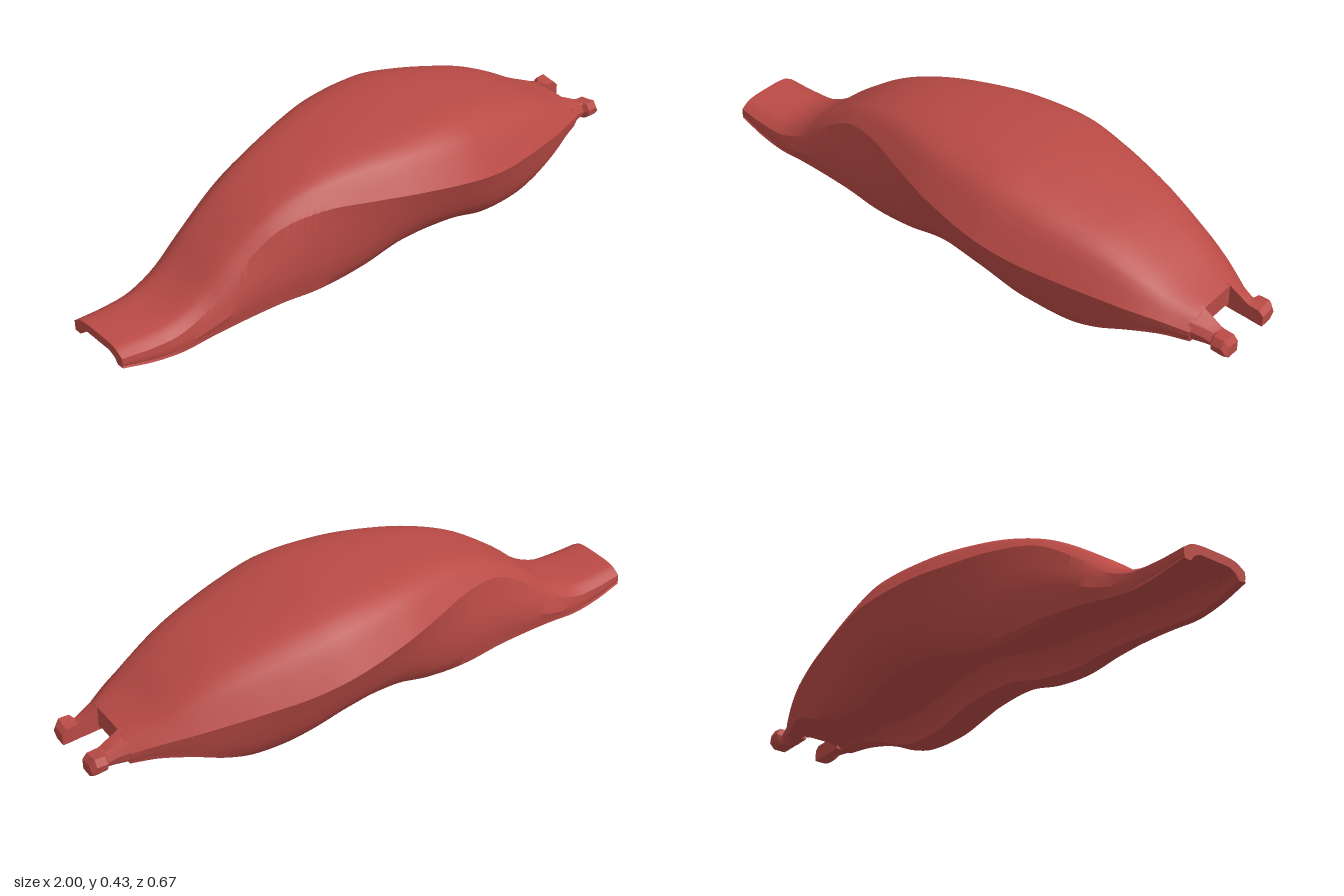
import * as THREE from 'three';
import { toCreasedNormals } from 'three/addons/utils/BufferGeometryUtils.js';

// Stations: x, top y, crease y, crease z, flank z, bottom y, rail outer z, rail inner z, channel ceiling y
const stations = [
  [-1.0, 0.10, 0.075, 0.120, 0.122, 0.040, 0.114, 0.095, 0.070],
  [-0.9, 0.095, 0.065, 0.128, 0.132, 0.015, 0.124, 0.102, 0.064],
  [-0.8, 0.10, 0.068, 0.134, 0.142, 0.003, 0.132, 0.107, 0.062],
  [-0.7, 0.147, 0.110, 0.138, 0.157, 0.012, 0.142, 0.109, 0.066],
  [-0.6, 0.23, 0.190, 0.142, 0.174, 0.018, 0.154, 0.110, 0.074],
  [-0.45, 0.33, 0.285, 0.160, 0.194, 0.019, 0.170, 0.110, 0.084],
  [-0.3, 0.39, 0.314, 0.203, 0.218, 0.012, 0.185, 0.110, 0.088],
  [-0.15, 0.42, 0.308, 0.257, 0.243, 0.030, 0.198, 0.110, 0.110],
  [0.0, 0.432, 0.295, 0.305, 0.268, 0.066, 0.210, 0.110, 0.142],
  [0.2, 0.43, 0.265, 0.334, 0.290, 0.058, 0.218, 0.110, 0.135],
  [0.35, 0.402, 0.235, 0.320, 0.280, 0.017, 0.214, 0.110, 0.098],
  [0.5, 0.36, 0.215, 0.287, 0.256, 0.014, 0.210, 0.112, 0.092],
  [0.6, 0.325, 0.200, 0.258, 0.238, 0.040, 0.206, 0.113, 0.100],
  [0.7, 0.275, 0.182, 0.224, 0.213, 0.082, 0.195, 0.112, 0.114],
  [0.8, 0.215, 0.160, 0.180, 0.174, 0.100, 0.160, 0.100, 0.118],
  [0.88, 0.18, 0.135, 0.140, 0.138, 0.094, 0.125, 0.080, 0.112],
];

// Fractions of crease width and of height above the crease
const crown = [[0, 1], [0.2, 0.998], [0.36, 0.982], [0.48, 0.95], [0.6, 0.886], [0.69, 0.805], [0.77, 0.68], [0.85, 0.46], [0.92, 0.25], [1, 0]];

// Smooth (cubic Hermite) value of one column at x
function sample(x, col) {
  const n = stations.length;
  let i = 0;
  while (i < n - 2 && x > stations[i + 1][0]) i++;
  const slope = (k) => {
    const a = stations[Math.max(k - 1, 0)], b = stations[Math.min(k + 1, n - 1)];
    return (b[col] - a[col]) / (b[0] - a[0]);
  };
  const p = stations[i], q = stations[i + 1], h = q[0] - p[0];
  const t = (x - p[0]) / h, t2 = t * t, t3 = t2 * t;
  return (2 * t3 - 3 * t2 + 1) * p[col] + (t3 - 2 * t2 + t) * h * slope(i)
    + (3 * t2 - 2 * t3) * q[col] + (t3 - t2) * h * slope(i + 1);
}

// Closed [z, y] cross-section, with the channel along the underside
function bodySection(x) {
  const [top, cy, cz, fz, by, oz, iz, ceil] = [1, 2, 3, 4, 5, 6, 7, 8].map((c) => sample(x, c));
  const half = crown.map(([u, v]) => [u * cz, cy + v * (top - cy)]);
  const h = cy - by;
  half.push(
    [cz * 0.45 + fz * 0.55, by + h * 0.7],
    [fz, by + h * 0.42],
    [fz * 0.6 + oz * 0.4, by + h * 0.2],
    [oz + 0.008, by + h * 0.05],
    [oz - 0.008, by],
    [iz, by],
    [iz - 0.012, by + (ceil - by) * 0.6],
    [iz - 0.038, ceil],
    [0, ceil],
  );
  const mirrored = half.slice(1, -1).reverse().map(([z, y]) => [-z, y]);
  return [...half, ...mirrored];
}

// Skin over rings of [z, y] points placed along x, closed by end caps
function loft(xs, rings, crease) {
  const count = rings[0].length, last = xs.length - 1;
  const pos = [], index = [];
  rings.forEach((ring, i) => ring.forEach(([z, y]) => pos.push(xs[i], y, z)));
  for (let i = 0; i < last; i++) {
    for (let j = 0; j < count; j++) {
      const k = (j + 1) % count;
      const a = i * count + j, b = i * count + k, c = a + count, d = b + count;
      index.push(a, b, c, b, d, c);
    }
  }
  // Turn each cap triangle to face outward
  for (const [i, sign] of [[0, -1], [last, 1]]) {
    const base = i * count;
    const pts = rings[i].map(([z, y]) => new THREE.Vector2(z, y));
    for (const [a, b, c] of THREE.ShapeUtils.triangulateShape(pts, [])) {
      const turn = pts[b].clone().sub(pts[a]).cross(pts[c].clone().sub(pts[a]));
      if (turn * sign < 0) index.push(base + a, base + b, base + c);
      else index.push(base + a, base + c, base + b);
    }
  }
  const geo = new THREE.BufferGeometry();
  geo.setAttribute('position', new THREE.Float32BufferAttribute(pos, 3));
  geo.setIndex(index);
  return toCreasedNormals(geo, crease);
}

// Prong stations: x, outer z, inner top y, outer top y, bottom y
const prongStations = [
  [0.87, 0.140, 0.184, 0.160, 0.095],
  [0.915, 0.124, 0.160, 0.148, 0.091],
  [0.94, 0.119, 0.145, 0.138, 0.090],
  [0.95, 0.133, 0.141, 0.146, 0.089],
  [0.985, 0.133, 0.138, 0.147, 0.086],
  [1.0, 0.127, 0.122, 0.126, 0.086],
];

function prongSection([, outer, topIn, topOut, bottom], side) {
  const ring = [
    [0.066, topIn], [0.1, (topIn + topOut) / 2], [outer - 0.014, topOut],
    [outer, topOut - 0.022], [outer - 0.004, bottom + 0.014], [outer - 0.018, bottom], [0.066, bottom],
  ];
  return side > 0 ? ring : ring.reverse().map(([z, y]) => [-z, y]);
}

export function createModel() {
  const red = new THREE.MeshStandardMaterial({ color: 0xb94a45 });
  red.name = 'red';
  const model = new THREE.Group();
  model.name = 'shell';
  const add = (name, geo) => {
    const mesh = new THREE.Mesh(geo, red);
    mesh.name = name;
    model.add(mesh);
  };

  // Domed body with a channel underneath
  const xs = Array.from({ length: 81 }, (_, i) => -1 + 1.88 * i / 80);
  add('body', loft(xs, xs.map(bodySection), 0.55));

  // Forked end: two prongs with small outer knobs
  const prongXs = prongStations.map((s) => s[0]);
  for (const [name, side] of [['frontProng', 1], ['backProng', -1]]) {
    add(name, loft(prongXs, prongStations.map((s) => prongSection(s, side)), 0.4));
  }
  return model;
}
